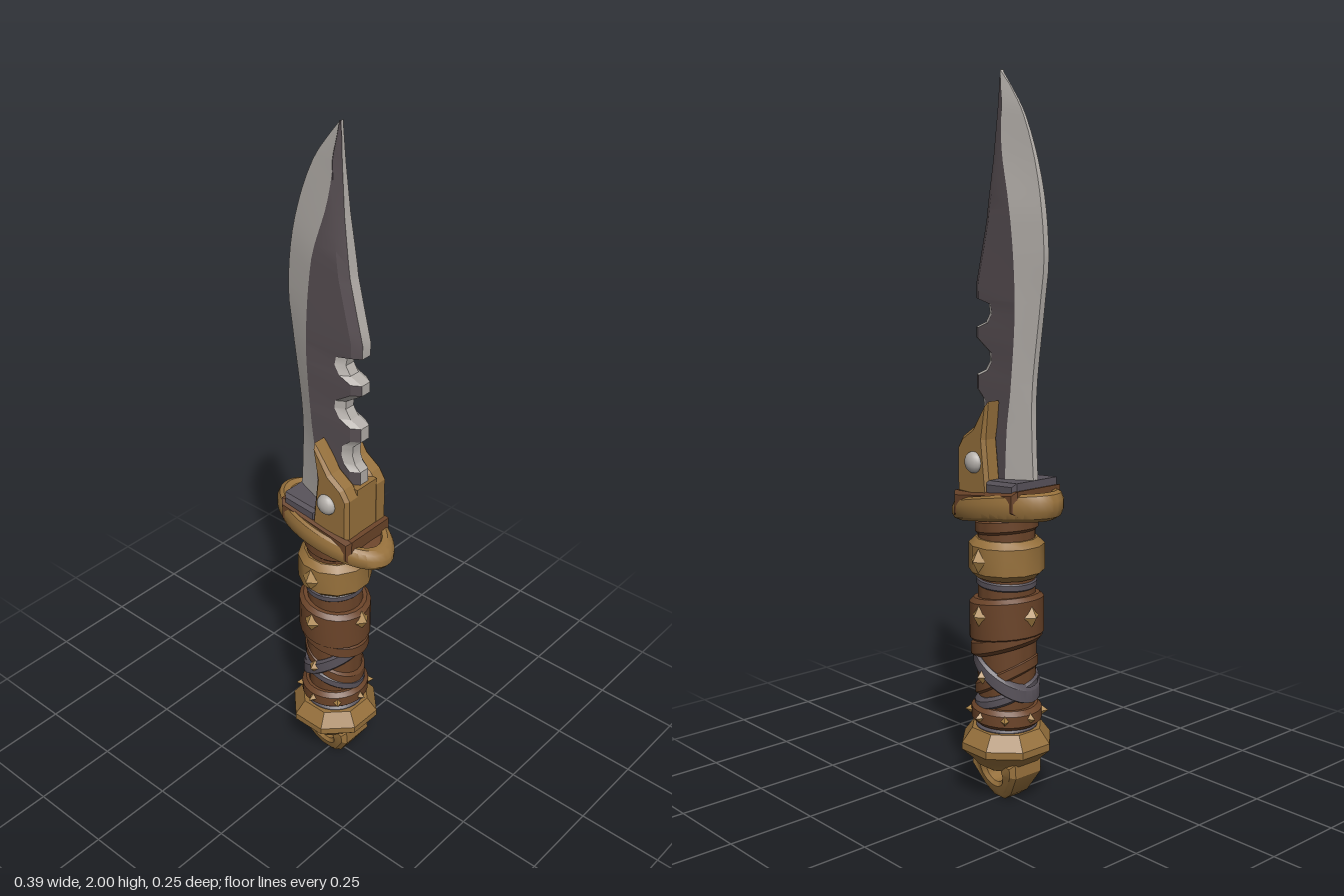
import * as THREE from 'three';
import { toCreasedNormals } from 'three/addons/utils/BufferGeometryUtils.js';

const mat = (name, color) => {
  const m = new THREE.MeshStandardMaterial({ color });
  m.name = name;
  return m;
};
const V2 = (p) => new THREE.Vector2(p[0], p[1]);

export function createModel() {
  const root = new THREE.Group();
  root.name = 'huntingKnife';
  const steel = mat('brightSteel', 0xb3aea9);
  const dark = mat('darkSteel', 0x574e52);
  const brass = mat('brass', 0x97713c);
  const leather = mat('leather', 0x6b4429);
  const wrap = mat('greyWrap', 0x58525a);
  const gold = mat('paleBrass', 0xab8448);

  const add = (name, geo, material, parent = root) => {
    const mesh = new THREE.Mesh(geo, material);
    mesh.name = name;
    parent.add(mesh);
    return mesh;
  };
  // move every vertex of a geometry by a rule
  const warp = (geo, rule) => {
    const p = geo.attributes.position, v = new THREE.Vector3();
    for (let i = 0; i < p.count; i++) {
      rule(v.fromBufferAttribute(p, i));
      p.setXYZ(i, v.x, v.y, v.z);
    }
    return geo;
  };
  // turned part from [radius, y] points, listed from the bottom up
  const turned = (name, pts, material, sides = 28, rule = () => {}) => {
    const k = sides <= 12 ? 1 / Math.cos(Math.PI / sides) : 1;
    const geo = new THREE.LatheGeometry(pts.map(([r, y]) => new THREE.Vector2(r * k, y)), sides, Math.PI / sides);
    return add(name, toCreasedNormals(warp(geo, rule), 0.55), material);
  };
  // bevelled band around the grip, tilted along x and z
  const band = (name, y0, y1, r, material, tx = 0, tz = 0, sides = 28, b = 0.012) =>
    turned(name, [[0.06, y0], [r - b, y0], [r, y0 + b], [r, y1 - b], [r - b, y1], [0.06, y1]],
      material, sides, (v) => { v.y += tx * v.x + tz * v.z; });

  // ---- blade: cross-sections stacked along y ----
  const curve = (pts) => new THREE.SplineCurve(pts.map(V2)).getPoints(60);
  const at = (pts, y) => {
    let i = 0;
    while (i < pts.length - 2 && pts[i + 1].y < y) i++;
    const a = pts[i], b = pts[i + 1];
    return THREE.MathUtils.lerp(a.x, b.x, THREE.MathUtils.clamp((y - a.y) / (b.y - a.y), 0, 1));
  };
  const edge = curve([[-0.12, 0.87], [-0.11, 1.03], [-0.111, 1.18], [-0.14, 1.4], [-0.153, 1.53],
    [-0.13, 1.71], [-0.07, 1.88], [0.018, 2]]);
  const ridge = curve([[-0.03, 0.87], [-0.038, 1.05], [-0.055, 1.18], [-0.07, 1.4], [-0.05, 1.63],
    [-0.005, 1.8], [0.019, 2]]);
  const spine = [[0.103, 0.87], [0.103, 1.06], [0.085, 1.075], [0.075, 1.1], [0.077, 1.13], [0.104, 1.155],
    [0.104, 1.195], [0.068, 1.21], [0.05, 1.235], [0.052, 1.26], [0.09, 1.285], [0.105, 1.295], [0.105, 1.325],
    [0.066, 1.34], [0.05, 1.365], [0.055, 1.39], [0.105, 1.402], [0.106, 1.44], [0.083, 1.53],
    [0.063, 1.61], [0.04, 1.77], [0.028, 1.9], [0.022, 2]].map(V2);
  const ys = spine.map((p) => p.y);
  for (let y = 0.92; y < 1.99; y += 0.04) ys.push(y);
  ys.sort((a, b) => a - b);
  const rows = ys.map((y) => {
    const xe = at(edge, y), xs = at(spine, y);
    const xf = Math.max(xe, xs - Math.min(0.025, (xs - xe) * 0.3));
    const xr = THREE.MathUtils.clamp(at(ridge, y), xe, xf);
    const t = 0.035 * Math.min(1, 0.18 + (2 - y) / 0.42);
    const half = [[xe, t * 0.25], [xr, t], [xf, t * 0.9], [xs, t * 0.45]];
    return [...half, ...half.slice().reverse().map(([x, z]) => [x, -z])].map(([x, z]) => [x, y, z]);
  });
  const bright = [], shade = [];
  for (let j = 0; j < rows.length - 1; j++) {
    const lo = rows[j], hi = rows[j + 1];
    const notch = lo[0][1] < 1.4 && lo[0][1] > 1.05 && Math.min(lo[3][0], hi[3][0]) < 0.1;
    for (let c = 0; c < 8; c++) {
      const n = (c + 1) % 8;
      const flat = c === 1 || c === 5 || ((c === 2 || c === 4) && !notch);
      (flat ? shade : bright).push(...lo[c], ...lo[n], ...hi[c], ...lo[n], ...hi[n], ...hi[c]);
    }
  }
  const surface = (arr) => {
    const g = new THREE.BufferGeometry();
    g.setAttribute('position', new THREE.Float32BufferAttribute(arr, 3));
    return toCreasedNormals(g, 0.5);
  };
  const blade = new THREE.Group();
  blade.name = 'blade';
  root.add(blade);
  add('bladeEdge', surface(bright), steel, blade);
  add('bladeFlat', surface(shade), dark, blade);

  // ---- sleeve gripping the blade base ----
  const extrude = (pts, depth, bevel, hole) => {
    const s = new THREE.Shape(pts.map(V2));
    if (hole) s.holes.push(hole);
    const g = new THREE.ExtrudeGeometry(s, { depth: depth - 2 * bevel, bevelEnabled: true, bevelThickness: bevel,
      bevelSize: bevel, bevelOffset: -bevel, bevelSegments: 1, curveSegments: 16 });
    return g.translate(0, 0, bevel - depth / 2);
  };
  const cheek = [[-0.015, 0.87], [0.115, 0.87], [0.115, 1.0], [0.095, 1.03], [0.05, 1.06], [-0.008, 1.135], [0.003, 1.03]];
  for (const s of [1, -1]) {
    add('sleeveCheek', extrude(cheek, 0.055, 0.01).translate(0, 0, s * 0.0555), brass);
    const rivet = add('rivet', new THREE.SphereGeometry(0.03, 16, 10), steel);
    rivet.position.set(0.042, 0.965, s * 0.083);
    rivet.scale.z = 0.7;
  }
  add('sleeveBack', new THREE.BoxGeometry(0.03, 0.15, 0.08).translate(0.099, 0.945, 0), brass);
  add('bladeSeat', extrude([[-0.12, 0.84], [0, 0.84], [0, 0.92], [-0.12, 0.928]], 0.165, 0.01), wrap);
  add('bladeSeatTrim', extrude([[-0.128, 0.84], [0.128, 0.8], [0.128, 0.875], [-0.128, 0.908]], 0.18, 0.012), leather);

  // ---- curved oval guard ----
  const bend = (v) => {
    v.z *= 0.56;
    v.y = v.y * (1 - 0.8 * v.x) + 0.845 - 0.17 * v.x - 0.3 * v.x * v.x;
  };
  turned('guardRim', [[0.1, -0.03], [0.165, -0.036], [0.186, -0.026], [0.195, -0.01], [0.195, 0.012],
    [0.186, 0.028], [0.172, 0.034], [0.155, 0.03], [0.15, 0.018]], brass, 40, bend);
  turned('guardInlay', [[0.155, 0.02], [0.1, 0.026], [0.0, 0.026]], leather, 40, bend);
  turned('guardUnderside', [[0, -0.032], [0.11, -0.033]], leather, 40, bend);

  // ---- grip ----
  turned('gripCore', [[0.08, 0.19], [0.078, 0.3], [0.084, 0.4], [0.08, 0.6], [0.08, 0.84]], leather);
  band('upperCollar', 0.765, 0.815, 0.088, leather, -0.12);
  band('brassFerrule', 0.645, 0.755, 0.102, brass, 0, 0, 12, 0.018);
  band('upperWrap', 0.61, 0.648, 0.084, wrap, 0.05);
  band('gripSleeve', 0.465, 0.59, 0.104, leather, -0.12, 0, 20);
  band('sleeveStrap', 0.435, 0.49, 0.1, leather, -0.3, 0.1);
  band('crossStrapLeather', 0.335, 0.385, 0.088, leather, -0.5, 0.2);
  band('crossStrapGrey', 0.35, 0.4, 0.094, wrap, 0.65, -0.15, 28, 0.008);
  band('crossStrapGreyLow', 0.295, 0.33, 0.089, wrap, -0.25, 0.3, 28, 0.008);
  band('lowerLeatherBand', 0.225, 0.28, 0.099, leather, 0.04);
  band('lowerWrap', 0.2, 0.226, 0.086, wrap);

  // diamond studs set around the grip
  const studs = (name, y, r, w, h, count) => {
    for (let i = 0; i < count; i++) {
      const pivot = new THREE.Group();
      pivot.name = name;
      pivot.rotation.y = (i * Math.PI * 2) / count;
      root.add(pivot);
      const stud = add(name + 'Point', toCreasedNormals(new THREE.OctahedronGeometry(1), 0.1), gold, pivot);
      stud.scale.set(w, h, 0.02);
      stud.position.set(0, y, r);
    }
  };
  studs('ferruleStud', 0.7, 0.104, 0.028, 0.034, 2);
  studs('sleeveStud', 0.545, 0.101, 0.026, 0.032, 4);
  studs('strapStud', 0.37, 0.089, 0.018, 0.022, 2);
  studs('lowerStud', 0.253, 0.097, 0.012, 0.015, 8);

  // ---- pommel and lanyard loop ----
  turned('pommel', [[0, 0.1], [0.075, 0.1], [0.092, 0.122], [0.122, 0.152], [0.122, 0.172], [0.094, 0.212], [0, 0.212]], brass, 8);
  const hole = new THREE.Path().absarc(0, 0.082, 0.033, 0, Math.PI * 2, true);
  const loop = extrude([[-0.088, 0.125], [-0.09, 0.085], [-0.052, 0.022], [-0.022, 0], [0.022, 0], [0.052, 0.022],
    [0.09, 0.085], [0.088, 0.125]], 0.12, 0.012, hole);
  warp(loop, (v) => { v.z *= 0.55 + 0.45 * Math.min(1, v.y / 0.09); });
  add('lanyardLoop', toCreasedNormals(loop, 0.5), brass);
  return root;
}
